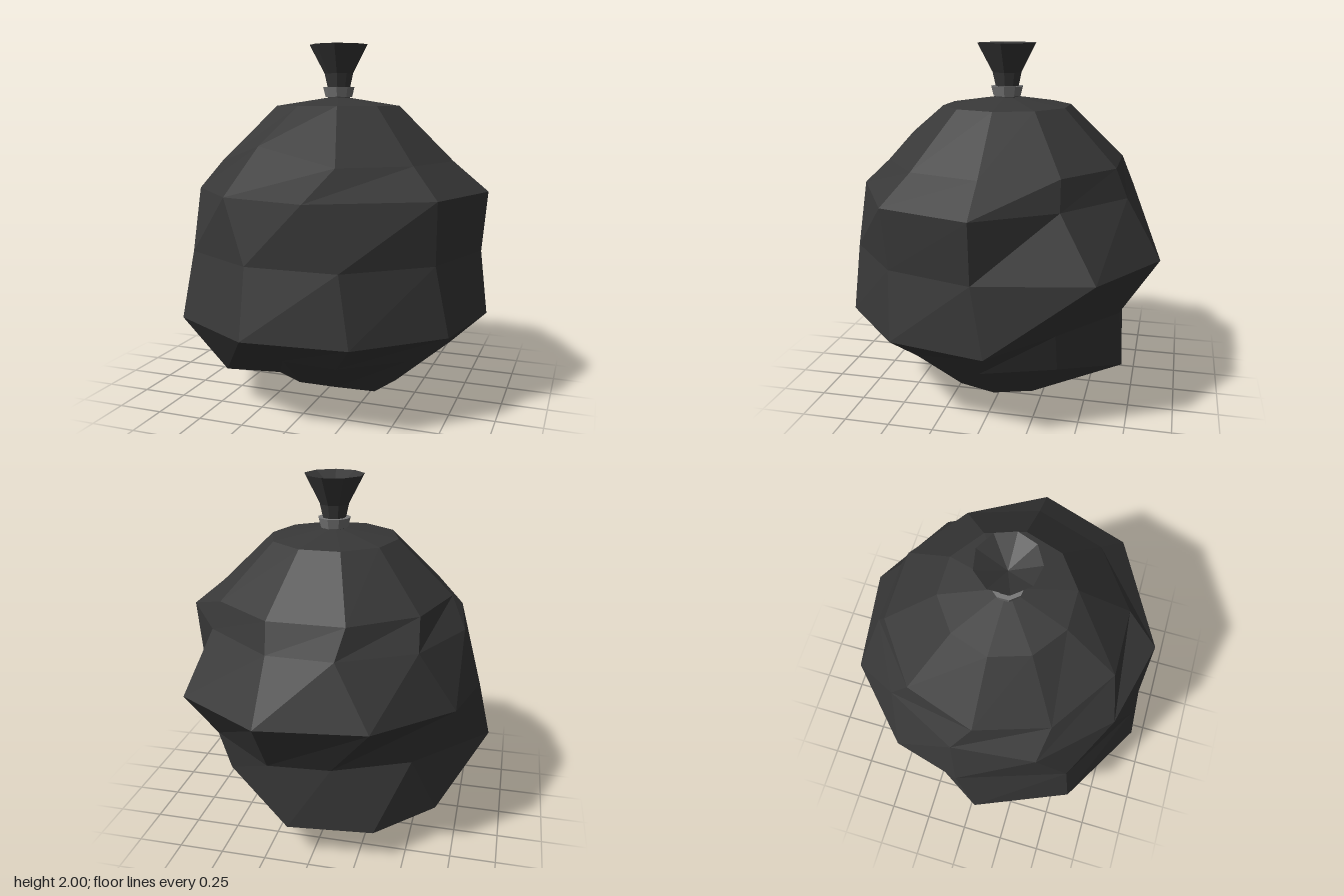
import * as THREE from 'three';

const CX = 0.025; // the pole and neck sit slightly off the middle
const SIDES = 10;

// Height and radius of each ring from the top pole to the bottom pole
const rings = [
  [1.715, 0], [1.66, 0.36], [1.36, 0.67], [1.2, 0.8], [0.87, 0.85],
  [0.5, 0.9], [0.33, 0.67], [0.06, 0.36], [0, 0],
];

// Crumpled outlines [x, z] of the middle rings, from +x round towards +z
const outlines = {
  3: [[0.89, 0], [0.72, 0.51], [0.13, 0.83], [-0.35, 0.71], [-0.68, 0.36],
    [-0.73, -0.1], [-0.53, -0.5], [-0.14, -0.71], [0.22, -0.7], [0.62, -0.4]],
  4: [[0.86, 0], [0.71, 0.48], [0.31, 0.81], [-0.19, 0.81], [-0.63, 0.54],
    [-0.83, -0.06], [-0.73, -0.44], [-0.34, -0.81], [0.24, -0.89], [0.73, -0.6]],
  5: [[0.89, -0.07], [0.78, 0.46], [0.37, 0.83], [-0.19, 0.88], [-0.68, 0.59],
    [-0.9, 0.06], [-0.51, -0.45], [-0.11, -0.67], [0.24, -0.68], [0.63, -0.39]],
  6: [[0.7, 0], [0.56, 0.39], [0.24, 0.64], [-0.07, 0.62], [-0.47, 0.48],
    [-0.63, 0.17], [-0.64, -0.33], [-0.34, -0.65], [0.13, -0.7], [0.56, -0.39]],
};

// Corners raised or lowered from their ring, keyed by ring and corner
const lifts = {
  '2,3': 0.1,
  '5,6': 0.04, '5,7': 0.06, '5,8': 0.05, '5,9': 0.05,
  '6,4': -0.14, '6,5': -0.14, '6,6': -0.14, '6,7': -0.14, '6,8': -0.14,
  '7,2': 0.05, '7,3': 0.05, '7,4': 0.04, '7,5': 0.045, '7,6': 0.04, '7,7': 0.04, '7,8': 0.04,
};

// Rings of corners joined by quads, each split along the same diagonal
function bagGeometry() {
  const points = [];
  const index = [];
  rings.forEach(([y, r], row) => {
    for (let k = 0; k < SIDES; k++) {
      const a = (k / SIDES) * Math.PI * 2;
      const [x, z] = outlines[row]?.[k] ?? [CX + r * Math.cos(a), r * Math.sin(a)];
      points.push(x, y + (lifts[`${row},${k}`] ?? 0), z);
      if (row === rings.length - 1) continue;
      const next = (k + 1) % SIDES;
      const a0 = row * SIDES + k, a1 = row * SIDES + next;
      const b0 = a0 + SIDES, b1 = a1 + SIDES;
      if (row > 0) index.push(a0, a1, b1);
      if (row < rings.length - 2) index.push(a0, b1, b0);
      if (row === 0) continue;
      if (row === rings.length - 2) continue;
    }
  });
  const geo = new THREE.BufferGeometry();
  geo.setAttribute('position', new THREE.Float32BufferAttribute(points, 3));
  geo.setIndex(index);
  geo.computeVertexNormals();
  return geo;
}

// Nine-sided turned part around the neck axis
function turned(name, profile, material) {
  const points = profile.map(([r, y]) => new THREE.Vector2(r, y));
  const mesh = new THREE.Mesh(new THREE.LatheGeometry(points, 9), material);
  mesh.rotation.y = Math.PI / 2;
  mesh.position.x = CX + 0.003;
  mesh.name = name;
  return mesh;
}

export function createModel() {
  const group = new THREE.Group();
  group.name = 'tiedSack';
  const plastic = new THREE.MeshStandardMaterial({
    color: 0x383838, flatShading: true, side: THREE.DoubleSide,
  });
  const tieMaterial = new THREE.MeshStandardMaterial({
    color: 0x777777, flatShading: true, side: THREE.DoubleSide,
  });

  const bag = new THREE.Mesh(bagGeometry(), plastic);
  bag.name = 'bag';
  group.add(bag);

  // Gathered neck flaring to an open mouth with a shallow funnel inside
  group.add(turned('neck', [
    [0.065, 1.69], [0.065, 1.76], [0.083, 1.84], [0.168, 2], [0, 1.91],
  ], plastic));

  // Band tied round the neck
  group.add(turned('tie', [
    [0.06, 1.71], [0.078, 1.71], [0.092, 1.765], [0.06, 1.765],
  ], tieMaterial));

  return group;
}
